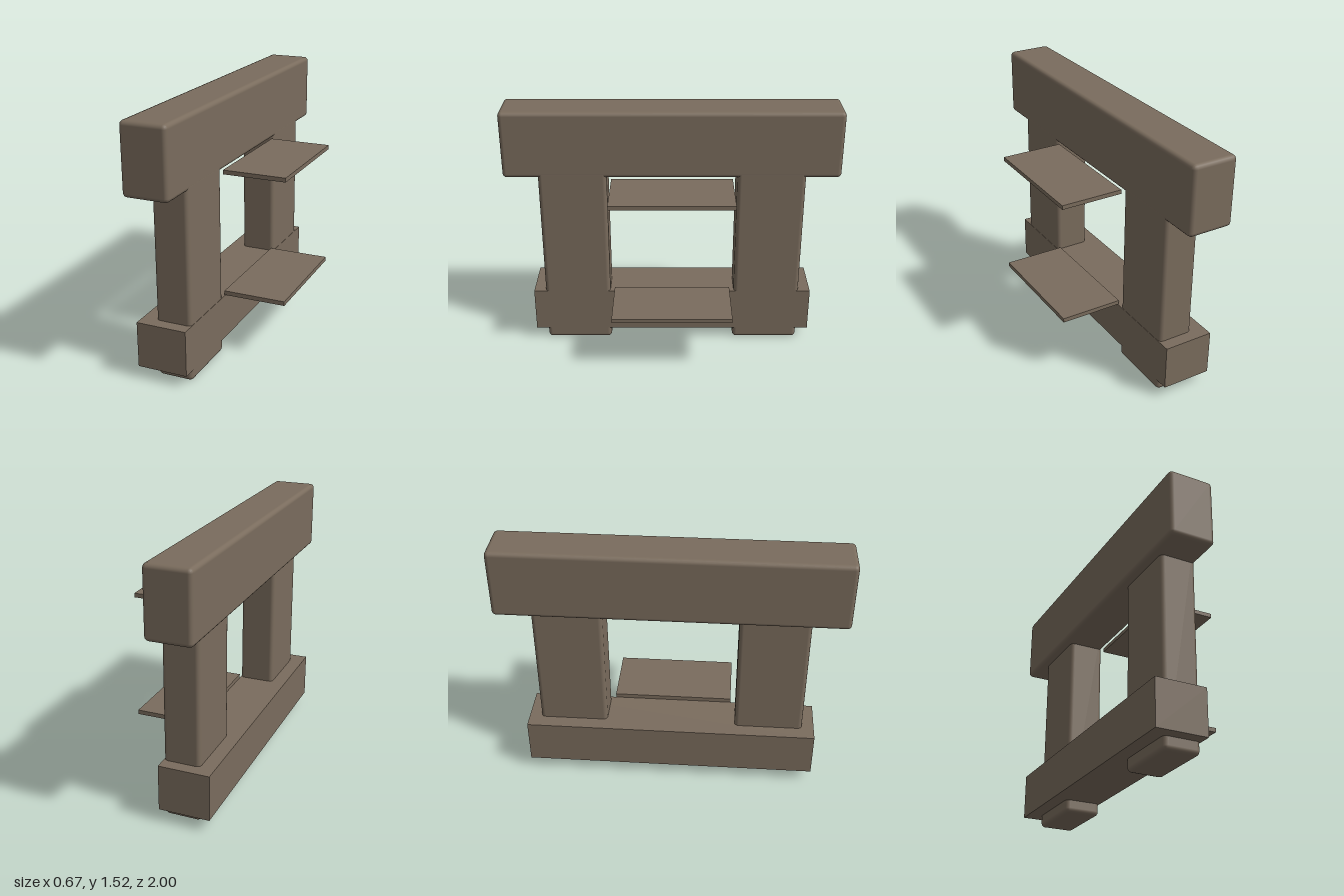
import * as THREE from 'three';
import { RoundedBoxGeometry } from 'three/addons/geometries/RoundedBoxGeometry.js';

export function createModel() {
  const group = new THREE.Group();
  const timber = new THREE.MeshStandardMaterial({ color: 0x7a6c5d });
  timber.name = 'weathered timber';

  // Adds a box spanning the given ranges; a radius above zero rounds its edges
  function addBox(name, [x0, x1], [y0, y1], [z0, z1], radius = 0) {
    const size = [x1 - x0, y1 - y0, z1 - z0];
    const geometry = radius > 0
      ? new RoundedBoxGeometry(...size, 2, radius)
      : new THREE.BoxGeometry(...size);
    const mesh = new THREE.Mesh(geometry, timber);
    mesh.name = name;
    mesh.position.set((x0 + x1) / 2, (y0 + y1) / 2, (z0 + z1) / 2);
    group.add(mesh);
  }

  // Heavy top beam
  addBox('topBeam', [-0.307, -0.038], [1.115, 1.52], [-1, 1], 0.025);

  // Two upright posts, reaching slightly into the beam
  addBox('frontPost', [-0.252, -0.038], [0, 1.16], [0.387, 0.793], 0.025);
  addBox('backPost', [-0.252, -0.038], [0, 1.16], [-0.793, -0.387], 0.025);

  // Square-edged lower rail
  addBox('lowerRail', [-0.336, -0.036], [0.072, 0.343], [-0.865, 0.865]);

  // Thin shelves projecting from the opening
  addBox('upperShelf', [-0.04, 0.336], [1.087, 1.112], [-0.358, 0.358]);
  addBox('lowerShelf', [-0.04, 0.336], [0.346, 0.372], [-0.358, 0.358]);

  return group;
}
